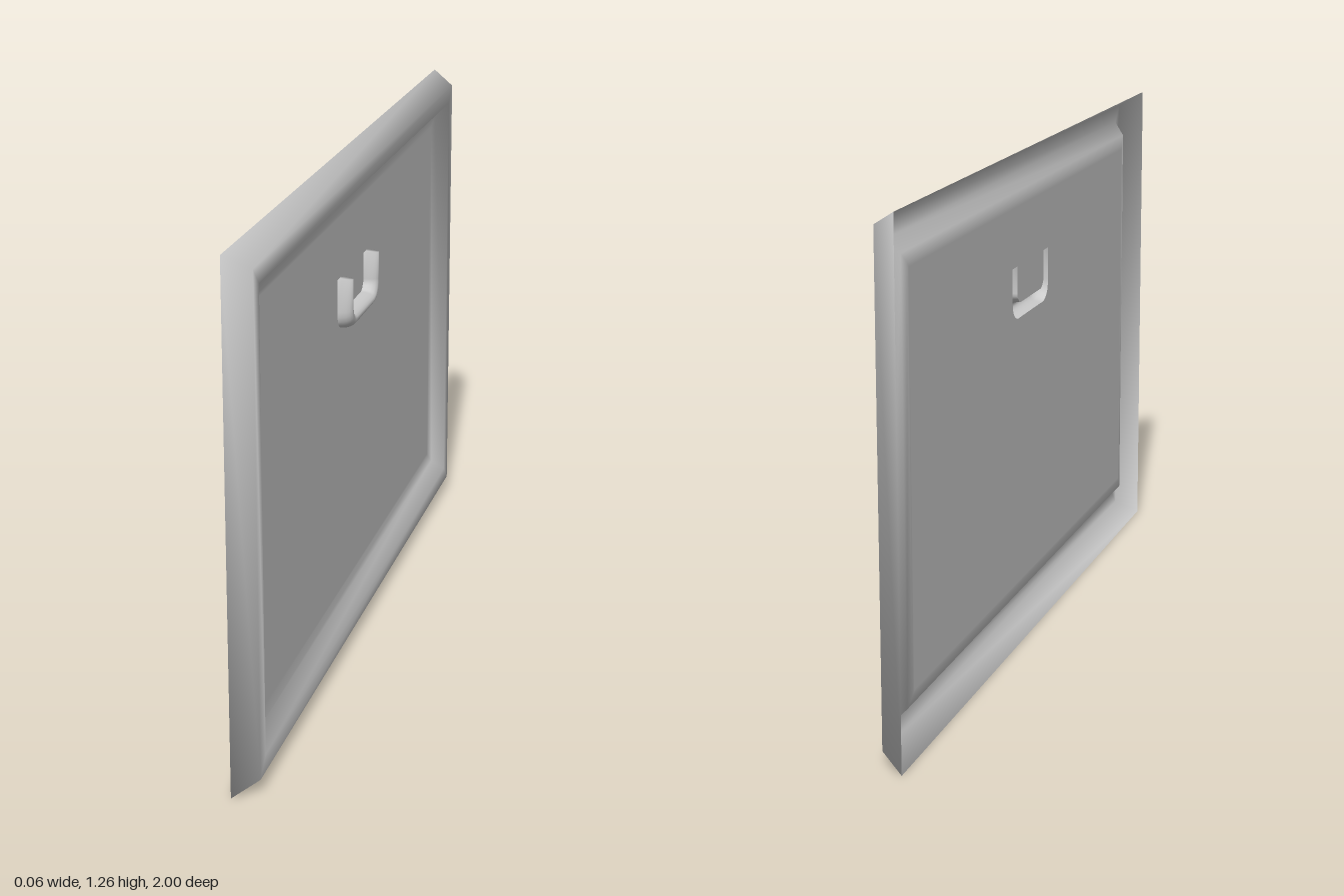
import * as THREE from 'three';

const HEIGHT = 1.26, HALF = 1, PANEL = -0.008;
const material = new THREE.MeshStandardMaterial({ color: 0xcccccc, side: THREE.DoubleSide });

// Smooth surface through rows of points; closed joins the last column to the first
function loft(rows, closed) {
  const n = rows[0].length, index = [];
  for (let i = 0; i < rows.length - 1; i++) {
    for (let j = 0; j < (closed ? n : n - 1); j++) {
      const k = (j + 1) % n;
      const a = i * n + j, b = i * n + k, c = (i + 1) * n + k, d = (i + 1) * n + j;
      index.push(a, b, c, a, c, d);
    }
  }
  const geometry = new THREE.BufferGeometry();
  geometry.setAttribute('position', new THREE.Float32BufferAttribute(rows.flat(2), 3));
  geometry.setIndex(index);
  geometry.computeVertexNormals();
  return geometry;
}

// Rectangle corners, moved inwards by inset
const corners = (inset) => [
  [-HALF + inset, inset], [HALF - inset, inset],
  [HALF - inset, HEIGHT - inset], [-HALF + inset, HEIGHT - inset],
];

function add(group, name, geometry) {
  const mesh = new THREE.Mesh(geometry, material);
  mesh.name = name;
  group.add(mesh);
}

export function createModel() {
  const group = new THREE.Group();
  group.name = 'pressedPanel';

  // Raised rim: outer bevel, crest, slope down and a narrow flat margin
  const profile = [[0, -0.03], [0.036, 0.029], [0.078, 0.029], [0.11, -0.003],
    [0.135, PANEL], [0.145, PANEL], [0.22, PANEL]];
  add(group, 'rim', loft(profile.map(([inset, depth]) =>
    corners(inset).map(([x, y]) => [x, y, depth])), true));

  // Centre line of the U-shaped handle
  const left = -0.136, right = 0.119, top = 0.966, bottom = 0.852, bend = 0.045;
  const path = new THREE.Path();
  path.moveTo(left, top);
  path.lineTo(left, bottom + bend);
  path.quadraticCurveTo(left, bottom, left + bend, bottom);
  path.lineTo(right - bend, bottom);
  path.quadraticCurveTo(right, bottom, right, bottom + bend);
  path.lineTo(right, top);
  const points = path.getPoints(8);
  const normals = points.map((p, i) => {
    const t = points[Math.min(i + 1, points.length - 1)].clone()
      .sub(points[Math.max(i - 1, 0)]).normalize();
    return new THREE.Vector2(-t.y, t.x);
  });
  // The handle is a little wider in its two bends
  const halfWidths = normals.map((n) => 0.0187 * (1 + 0.6 * Math.abs(n.x * n.y)));

  // Handle: hollow half-round sweep, open at the back and closed at both ends
  const rise = 0.036, sides = 10;
  const section = (i, size) => Array.from({ length: sides + 1 }, (_, j) => {
    const angle = Math.PI * j / sides, w = halfWidths[i] * size * Math.cos(angle);
    return [points[i].x + normals[i].x * w, points[i].y + normals[i].y * w,
      PANEL + rise * size * Math.sin(angle)];
  });
  const rows = [section(0, 0), ...points.map((_, i) => section(i, 1)), section(points.length - 1, 0)];
  add(group, 'handle', loft(rows, false));

  // Recessed sheet, cut out behind the hollow handle
  const edge = (side) => points.map((p, i) => p.clone().addScaledVector(normals[i], side * halfWidths[i]));
  const sheet = new THREE.Shape(corners(0.22).map(([x, y]) => new THREE.Vector2(x, y)));
  sheet.holes.push(new THREE.Path([...edge(1), ...edge(-1).reverse()]));
  add(group, 'sheet', new THREE.ShapeGeometry(sheet).translate(0, 0, PANEL));

  // Turn the panel so that its handle faces the model's left
  group.rotation.y = Math.PI / 2;
  const model = new THREE.Group();
  model.name = 'model';
  model.add(group);
  return model;
}
